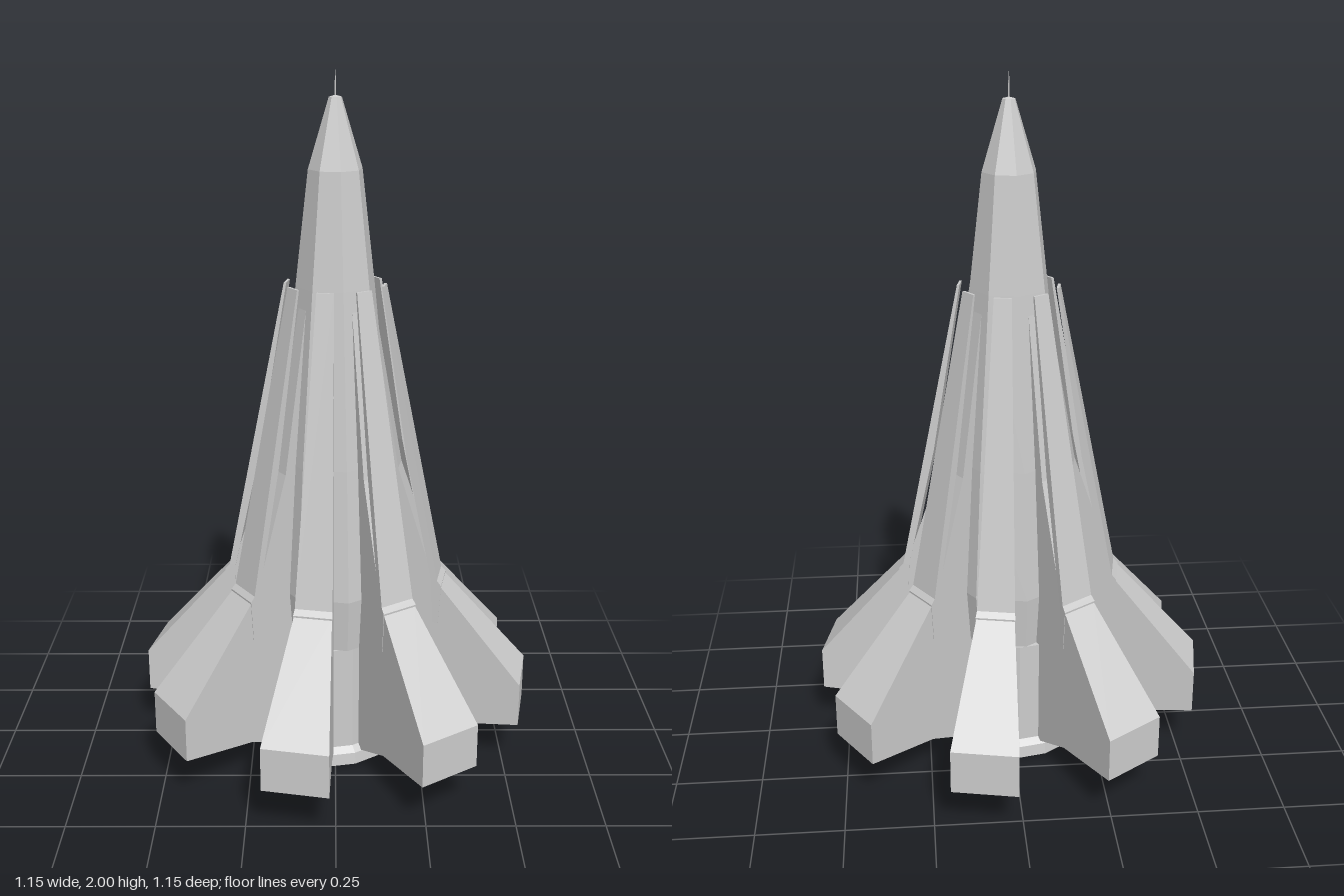
import * as THREE from 'three';

const FINS = 8;
const FIRST = -Math.PI / 16; // heading of the first fin, measured from +z towards +x
const TAPER = Math.tan(THREE.MathUtils.degToRad(9.5));

// Radial wedge: a (radius, height) outline whose width grows with radius
function wedge(points, widen = 1) {
  const shape = new THREE.Shape(points.map(([r, y]) => new THREE.Vector2(r, y)));
  const geo = new THREE.ExtrudeGeometry(shape, { depth: 2, bevelEnabled: false });
  geo.translate(0, 0, -1);
  const p = geo.attributes.position;
  for (let i = 0; i < p.count; i++) p.setZ(i, p.getZ(i) * p.getX(i) * TAPER * widen);
  geo.computeVertexNormals();
  return geo;
}

function lathe(points, sides, phase = 0) {
  return new THREE.LatheGeometry(points.map(([r, y]) => new THREE.Vector2(r, y)), sides, phase);
}

export function createModel() {
  const group = new THREE.Group();
  const mat = new THREE.MeshStandardMaterial({
    color: 0xcccccc, flatShading: true, side: THREE.DoubleSide,
  });
  const add = (name, geo, parent = group) => {
    const mesh = new THREE.Mesh(geo, mat);
    mesh.name = name;
    parent.add(mesh);
    return mesh;
  };

  // Eight-sided tapering hull, its edges midway between the fins
  add('hull', lathe([
    [0, 0.37], [0.18, 0.37], [0.195, 0.53], [0.165, 0.92], [0.113, 1.42],
    [0.076, 1.74], [0.018, 1.93], [0, 1.935],
  ], 8, Math.PI / 16));

  // Needle on the nose
  const needle = add('needle', new THREE.CylinderGeometry(0.001, 0.003, 0.08, 6));
  needle.position.y = 1.96;

  // Hollow engine nozzle, set slightly to one side
  const nozzle = add('nozzle', lathe([
    [0, 0.32], [0.13, 0.32], [0.13, 0], [0.204, 0], [0.2, 0.035],
    [0.18, 0.05], [0.18, 0.37], [0, 0.37],
  ], 16));
  nozzle.position.x = -0.018;

  // Fins with a slanted armour plate standing along each spine
  const finGeo = wedge([
    [0.01, 0.03], [0.17, 0.03], [0.33, 0.1], [0.567, 0.14], [0.567, 0.27],
    [0.32, 0.55], [0.3, 0.57], [0.19, 0.9], [0.1, 1.42], [0.01, 1.42],
  ]);
  const plateGeo = wedge([
    [0.302, 0.43], [0.318, 0.43], [0.325, 0.55], [0.312, 0.565],
    [0.142, 1.425], [0.135, 1.425], [0.215, 0.93], [0.295, 0.56],
  ], 1.03);
  for (let i = 0; i < FINS; i++) {
    const unit = new THREE.Group();
    unit.name = 'finUnit' + (i + 1);
    unit.rotation.y = FIRST + (i * 2 * Math.PI) / FINS - Math.PI / 2;
    add('fin', finGeo, unit);
    add('spinePlate', plateGeo, unit);
    group.add(unit);
  }
  return group;
}
